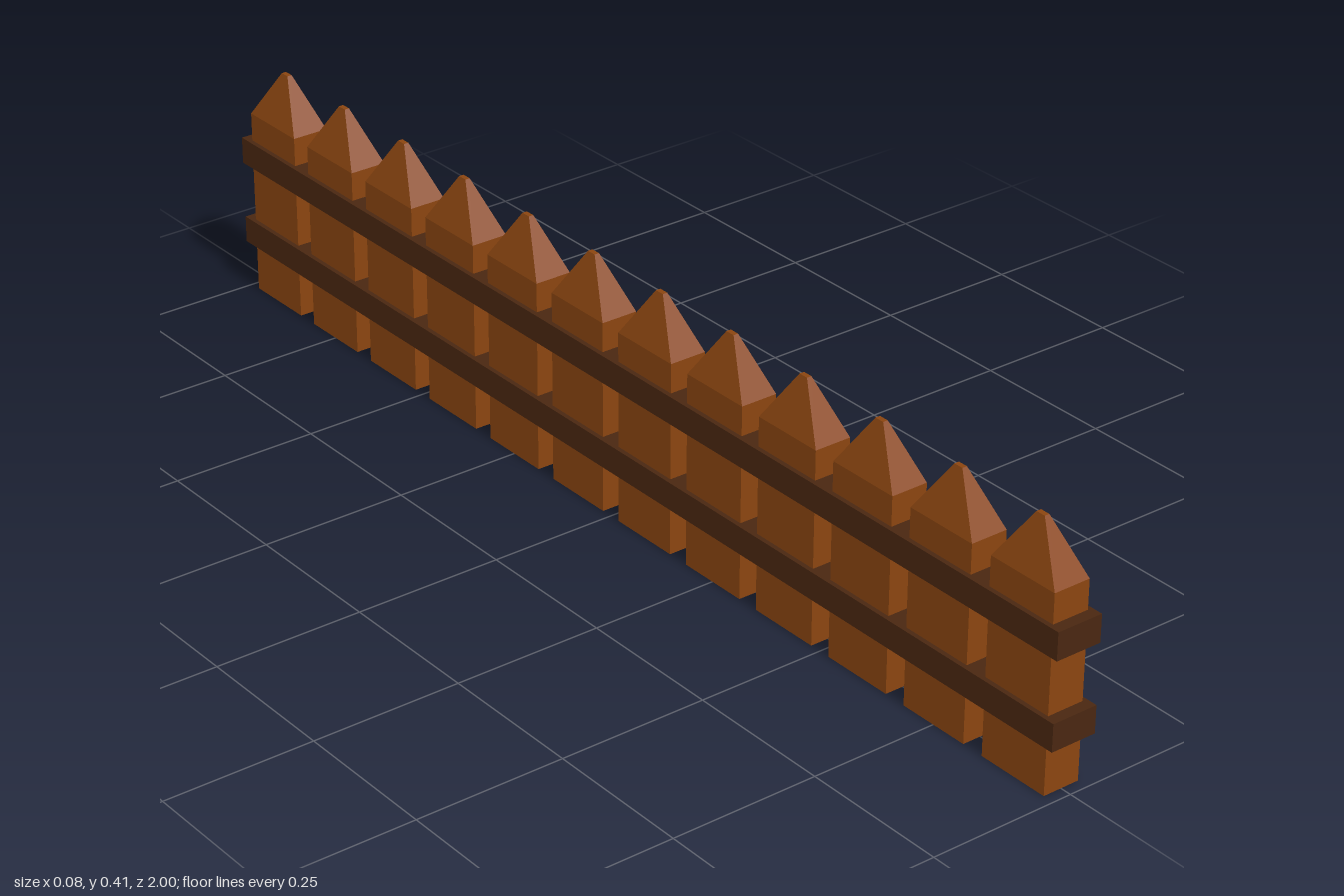
import * as THREE from 'three';

const PICKETS = 12;
const SPACING = 1 / 6;
const WIDTH = 0.128; // along z
const DEPTH = 0.064; // along x
const SHOULDER = 0.325;
const HEIGHT = 0.41;

export function createModel() {
  const fence = new THREE.Group();
  fence.name = 'picketFence';
  const picketWood = new THREE.MeshStandardMaterial({ color: 0x8b4510, flatShading: true });
  const railWood = new THREE.MeshStandardMaterial({ color: 0x4a2711, flatShading: true });

  const add = (parent, name, geometry, material, y) => {
    const mesh = new THREE.Mesh(geometry, material);
    mesh.name = name;
    mesh.position.y = y;
    parent.add(mesh);
  };

  // Picket board, and a four-sided tapered point with a small blunt tip
  const boardGeometry = new THREE.BoxGeometry(DEPTH, SHOULDER, WIDTH);
  const tipHeight = HEIGHT - SHOULDER;
  const tipGeometry = new THREE.CylinderGeometry(0.13 * Math.SQRT1_2, Math.SQRT1_2, tipHeight, 4)
    .rotateY(Math.PI / 4)
    .scale(DEPTH, 1, WIDTH);

  for (let i = 0; i < PICKETS; i++) {
    const picket = new THREE.Group();
    picket.name = `picket${i + 1}`;
    picket.position.z = (i - (PICKETS - 1) / 2) * SPACING;
    add(picket, 'board', boardGeometry, picketWood, SHOULDER / 2);
    add(picket, 'point', tipGeometry, picketWood, SHOULDER + tipHeight / 2);
    fence.add(picket);
  }

  // Horizontal rails running the full length through the pickets
  const railGeometry = new THREE.BoxGeometry(0.08, 0.046, 2);
  add(fence, 'lowerRail', railGeometry, railWood, 0.107);
  add(fence, 'upperRail', railGeometry, railWood, 0.253);

  return fence;
}
